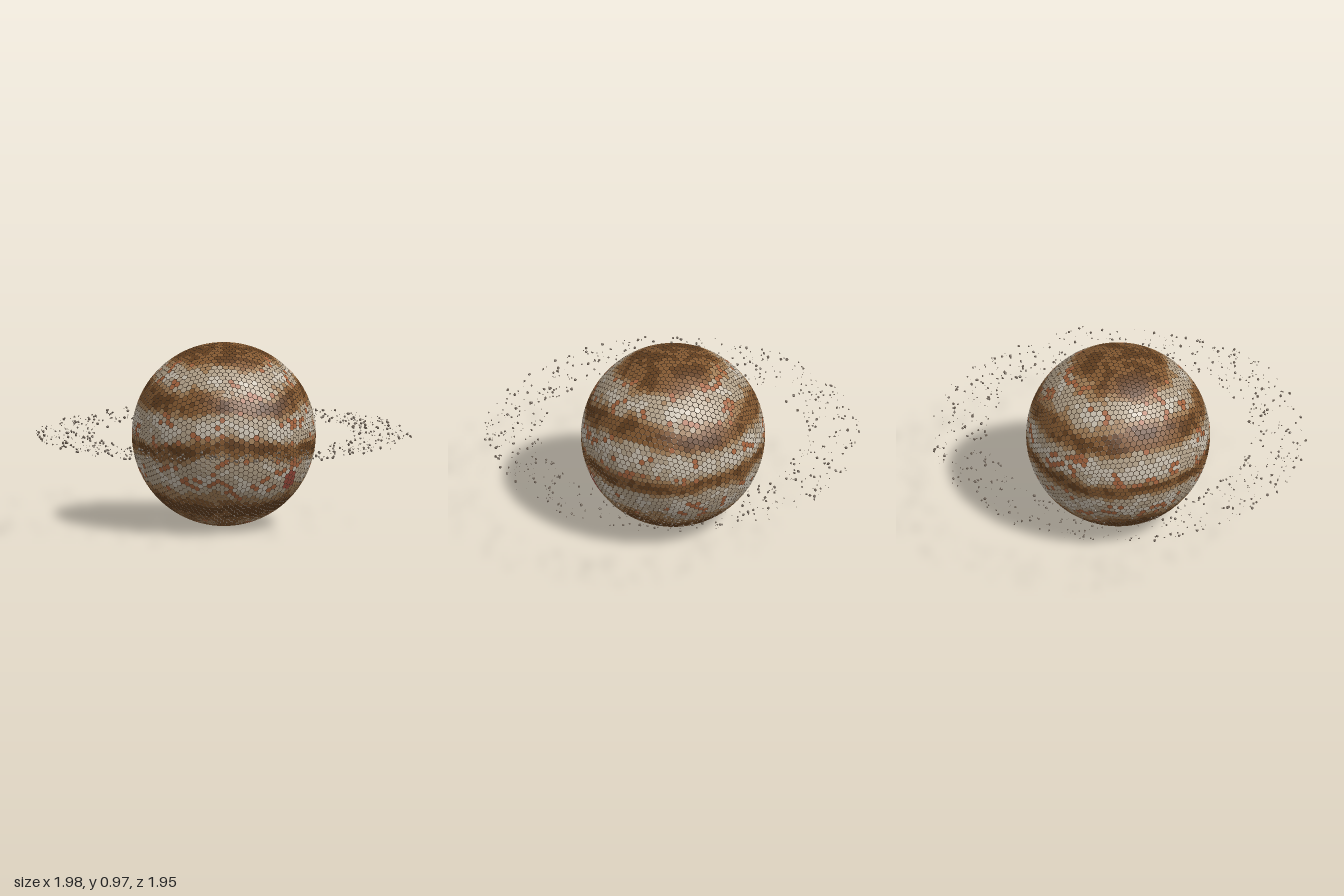
import * as THREE from 'three';
import { mergeGeometries, mergeVertices } from 'three/addons/utils/BufferGeometryUtils.js';

const R = 0.483, THICK = 0.016, INSET = 0.91, DETAIL = 19;
const CENTER = new THREE.Vector3(0, R, -0.006);

// Tile colours from pale cloud to dark belt, then rust flecks and the red storm
const PALETTE = [
  ['paleTiles', 0xc8beae], ['creamTiles', 0xb3a28a], ['tanTiles', 0xa07c55],
  ['brownTiles', 0x835830], ['darkBrownTiles', 0x65401f],
  ['rustTiles', 0xa8653f], ['stormTiles', 0x9c4a3c],
];
const RUST = 5, STORM = 6;
const STORM_DIR = new THREE.Vector3(0.72, -0.42, 0.55).normalize();

// Belt darkness by height on the unit sphere: [height, darkness]
const BELTS = [
  [-1.2, 4], [-0.95, 3], [-0.88, 2.4], [-0.8, 3.4], [-0.68, 4], [-0.56, 2.2], [-0.46, 0.5],
  [-0.22, 0.7], [-0.13, 3.4], [-0.04, 3.8], [0.05, 1.3], [0.14, 0.2], [0.32, 0.8],
  [0.4, 3.4], [0.5, 3.7], [0.58, 1.5], [0.68, 0.5], [0.8, 1.4], [0.87, 3.2], [0.97, 3.8], [1.2, 3.2],
];

function random(seed) {
  return () => {
    seed = (seed * 1664525 + 1013904223) >>> 0;
    return seed / 4294967296;
  };
}

function darknessAt(h) {
  const i = Math.max(1, BELTS.findIndex(b => b[0] > h));
  const [h0, d0] = BELTS[i - 1], [h1, d1] = BELTS[i];
  return THREE.MathUtils.lerp(d0, d1, THREE.MathUtils.clamp((h - h0) / (h1 - h0), 0, 1));
}

// Smooth swirl noise made of crossed sine waves
const swirl = (p, f) =>
  (Math.sin(f * p.x + 1.7 * Math.sin(f * p.z + 1)) +
   Math.sin(f * p.z + 1.3 * Math.sin(f * p.y * 1.4 + 2)) +
   Math.sin(f * p.y * 1.6 + 1.5 * Math.sin(f * p.x + 4))) / 3;

function paletteIndex(p, rnd) {
  if (p.distanceTo(STORM_DIR) < 0.1) return STORM;
  const h = p.y + 0.07 * swirl(p, 4) + 0.03 * swirl(p, 10);
  const d = darknessAt(h) + 0.7 * swirl(p, 15) + (rnd() - 0.5) * 0.5;
  if (d < 2.6 && Math.abs(swirl(p, 9) - 0.25) < 0.07 && rnd() < 0.75) return RUST;
  return THREE.MathUtils.clamp(Math.round(d), 0, 4);
}

function flatGeometry(positions) {
  const g = new THREE.BufferGeometry();
  g.setAttribute('position', new THREE.Float32BufferAttribute(positions, 3));
  g.computeVertexNormals();
  return g;
}

// Outlines of the hexagon cells: the dual of a subdivided icosahedron
function hexCells() {
  const ico = new THREE.IcosahedronGeometry(1, DETAIL);
  ico.deleteAttribute('uv');
  ico.deleteAttribute('normal');
  const grid = mergeVertices(ico, 1e-4);
  const pos = grid.attributes.position, index = grid.index;
  const cells = Array.from({ length: pos.count }, (_, i) => ({
    dir: new THREE.Vector3().fromBufferAttribute(pos, i).normalize(), corners: [],
  }));
  for (let i = 0; i < index.count; i += 3) {
    const tri = [0, 1, 2].map(k => cells[index.getX(i + k)]);
    const mid = tri.reduce((s, c) => s.add(c.dir), new THREE.Vector3()).normalize();
    tri.forEach(c => c.corners.push(mid));
  }
  // Sort the corners counter-clockwise as seen from outside
  for (const c of cells) {
    const u = c.corners[0].clone().sub(c.dir).projectOnPlane(c.dir).normalize();
    const v = c.dir.clone().cross(u);
    const angle = q => Math.atan2(q.dot(v), q.dot(u));
    c.corners.sort((a, b) => angle(a) - angle(b));
  }
  return cells;
}

function createPlanet() {
  const planet = new THREE.Group();
  planet.name = 'planet';
  planet.position.copy(CENTER);
  const rnd = random(7);
  const tops = PALETTE.map(() => []), sides = [];
  const tri = (list, ...pts) => pts.forEach(p => list.push(p.x, p.y, p.z));

  for (const { dir, corners } of hexCells()) {
    const middle = corners.reduce((s, c) => s.add(c), new THREE.Vector3()).divideScalar(corners.length);
    const outline = corners.map(c => middle.clone().lerp(c, INSET));
    const outer = outline.map(c => c.clone().multiplyScalar(R));
    const inner = outline.map(c => c.clone().multiplyScalar(R - THICK));
    const top = tops[paletteIndex(dir, rnd)];
    const n = outer.length;
    for (let k = 0; k < n; k++) {
      const j = (k + 1) % n;
      if (k > 0 && j > 0) {
        tri(top, outer[0], outer[k], outer[j]);
        tri(sides, inner[0], inner[j], inner[k]);
      }
      tri(sides, inner[k], inner[j], outer[j], inner[k], outer[j], outer[k]);
    }
  }

  const add = (name, color, positions) => {
    const mesh = new THREE.Mesh(flatGeometry(positions),
      new THREE.MeshStandardMaterial({ color }));
    mesh.name = name;
    planet.add(mesh);
  };
  PALETTE.forEach(([name, color], i) => { if (tops[i].length) add(name, color, tops[i]); });
  add('tileSides', 0x3a2a1c, sides);
  return planet;
}

// Flat belt of small faceted rocks circling the planet
function createRing() {
  const rnd = random(42);
  const rocks = [];
  const m = new THREE.Matrix4(), q = new THREE.Quaternion();
  for (let i = 0; i < 800; i++) {
    const a = rnd() * Math.PI * 2;
    const r = THREE.MathUtils.lerp(0.69, 0.988, rnd());
    const size = 0.002 + 0.0075 * rnd() ** 1.6;
    q.setFromEuler(new THREE.Euler(rnd() * 6.28, rnd() * 6.28, rnd() * 6.28));
    m.compose(
      new THREE.Vector3(r * Math.cos(a), R + (rnd() - 0.5) * 0.026, r * Math.sin(a)), q,
      new THREE.Vector3(size, size * (0.7 + 0.3 * rnd()), size * (0.7 + 0.3 * rnd())));
    rocks.push(new THREE.IcosahedronGeometry(1, 0).applyMatrix4(m));
  }
  const ring = new THREE.Mesh(mergeGeometries(rocks),
    new THREE.MeshStandardMaterial({ color: 0x6e6256, flatShading: true }));
  ring.name = 'rockRing';
  return ring;
}

export function createModel() {
  const model = new THREE.Group();
  model.name = 'ringedPlanet';
  model.add(createPlanet(), createRing());
  return model;
}
